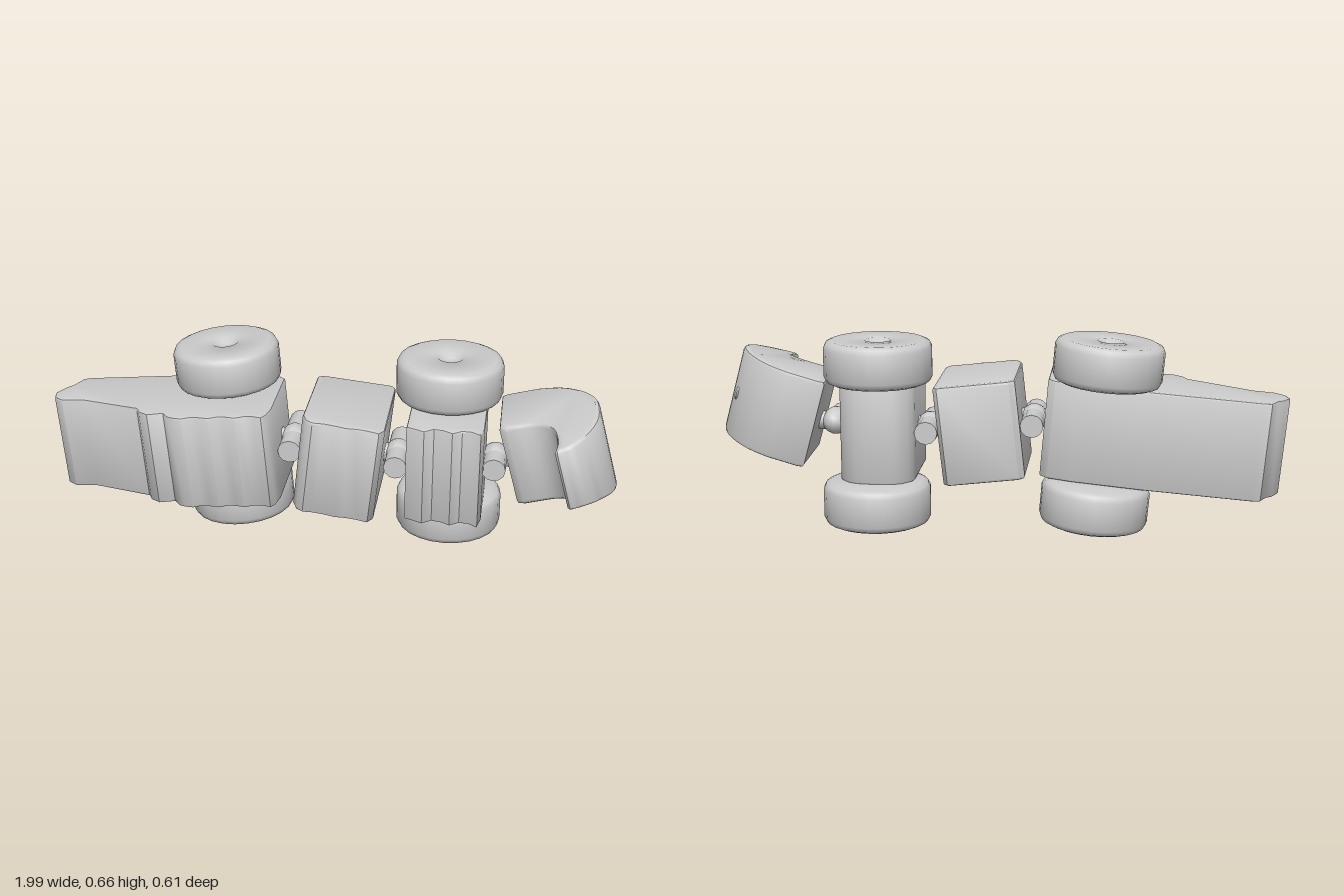
import * as THREE from 'three';
import { toCreasedNormals } from 'three/addons/utils/BufferGeometryUtils.js';

const deg = Math.PI / 180;
const material = new THREE.MeshStandardMaterial({ color: 0xcccccc });

function mesh(name, geometry, parent, crease = 40) {
  const m = new THREE.Mesh(toCreasedNormals(geometry, crease * deg), material);
  m.name = name;
  parent.add(m);
  return m;
}

// Body segment: an (x, z) side profile, extruded along y and centred
function segmentGeometry(profile, height, bevel) {
  const shape = new THREE.Shape(profile.map(([x, z]) => new THREE.Vector2(x, -z)));
  const g = new THREE.ExtrudeGeometry(shape, {
    depth: height - 2 * bevel, bevelEnabled: true, bevelThickness: bevel,
    bevelSize: bevel, bevelOffset: -bevel, bevelSegments: 2,
  });
  g.rotateX(-Math.PI / 2);
  g.translate(0, bevel - height / 2, 0);
  return g;
}

// Gently rippled edge between two x positions
function ripple(x0, x1, z, depth, n) {
  return Array.from({ length: n + 1 }, (_, i) =>
    [x0 + (x1 - x0) * i / n, z - depth * (0.5 - 0.5 * Math.cos(i * Math.PI * 0.65))]);
}

function smoothRun(points, n) {
  const curve = new THREE.SplineCurve(points.map(p => new THREE.Vector2(...p)));
  return curve.getPoints(n).map(p => [p.x, p.y]);
}

// Rounded wheel with a dimpled hub on its outer face
function wheel(name, parent, x, y, z, flip) {
  const h = 0.074;
  const pts = [[0, -h], [0.16, -h], [0.178, -h + 0.008], [0.186, -h + 0.025], [0.186, h - 0.025],
    [0.178, h - 0.008], [0.16, h], [0.045, h - 0.002], [0.03, h - 0.018], [0, h - 0.02]];
  const g = new THREE.LatheGeometry(pts.map(p => new THREE.Vector2(...p)), 24);
  const m = mesh(name, g, parent, 50);
  m.position.set(x, y, z);
  if (flip) m.rotation.x = Math.PI;
  return m;
}

function segmentGroup(name, root, x, y, angle) {
  const g = new THREE.Group();
  g.name = name;
  g.position.set(x, y, 0);
  g.rotation.z = angle * deg;
  root.add(g);
  return g;
}

// Hinge between segments: a pin along z with a bead in the middle
function hinge(name, root, x, y, length, z0, z1) {
  const g = segmentGroup(name, root, x, y, 0);
  const pin = mesh('hingePin', new THREE.CylinderGeometry(0.04, 0.04, z1 - z0, 12), g);
  pin.rotation.x = Math.PI / 2;
  pin.position.z = (z0 + z1) / 2;
  const link = mesh('hingeLink', new THREE.CylinderGeometry(0.033, 0.033, length, 10), g);
  link.rotation.z = Math.PI / 2;
  const bead = mesh('hingeBead', new THREE.SphereGeometry(0.048, 12, 8), g);
  bead.scale.z = 1.3;
}

export function createModel() {
  const root = new THREE.Group();
  root.name = 'jointedRollingToy';

  // Tail segment with its rear wheels
  const rear = segmentGroup('tailSegment', root, -0.575, 0.32, 4.9);
  const tail = [[-0.41, -0.04], [-0.385, -0.09], [-0.365, -0.11], [-0.34, -0.165], [-0.31, -0.172],
    [0.05, -0.18], [0.3, -0.17], [0.385, -0.155], [0.41, -0.13], [0.41, 0.13], [0.4, 0.185],
    ...ripple(0.385, 0.08, 0.205, 0.015, 10), [0.055, 0.185], [0.035, 0.155], [-0.02, 0.165],
    [-0.055, 0.14], [-0.07, 0.11], [-0.29, 0.028], [-0.365, 0.028], [-0.4, 0]];
  mesh('tailBody', segmentGeometry(tail, 0.342, 0.008), rear);
  wheel('rearLeftWheel', rear, 0.214, 0.246, -0.115, false);
  wheel('rearRightWheel', rear, 0.214, -0.246, -0.115, true);

  // Plain middle segment
  const middle = segmentGroup('middleSegment', root, 0.052, 0.339, -6.2);
  const block = [[-0.14, -0.165], [-0.12, -0.182], [0.125, -0.188], [0.14, -0.17], [0.142, 0.185],
    ...ripple(0.125, -0.1, 0.215, 0.008, 6), [-0.125, 0.2], [-0.14, 0.165]];
  mesh('middleBody', segmentGeometry(block, 0.345, 0.01), middle);

  // Front segment with its wheels and a rounded back
  const front = segmentGroup('frontSegment', root, 0.41, 0.327, 0);
  const chest = [[-0.13, -0.1], ...smoothRun([[-0.125, -0.13], [-0.08, -0.175], [0, -0.185],
    [0.08, -0.175], [0.125, -0.13]], 10), [0.13, -0.1], [0.13, 0.14],
    ...ripple(0.12, -0.1, 0.19, 0.03, 7), [-0.13, 0.16]];
  mesh('frontBody', segmentGeometry(chest, 0.35, 0.008), front);
  wheel('frontLeftWheel', front, -0.008, 0.247, -0.115, false);
  wheel('frontRightWheel', front, 0.002, -0.247, -0.115, true);

  // Head, curving round into a muzzle that narrows towards its tip
  const head = segmentGroup('headSegment', root, 0.79, 0.395, 15.5);
  const skull = [[-0.172, -0.145], [-0.15, -0.155], ...smoothRun([[-0.04, -0.152], [0.04, -0.125],
    [0.11, -0.065], [0.155, 0.01], [0.168, 0.09], [0.158, 0.17], [0.115, 0.245], [0.065, 0.287],
    [0.02, 0.305]], 24), ...smoothRun([[0.012, 0.295], [0.022, 0.24], [0.008, 0.165],
    [-0.04, 0.125], [-0.1, 0.118]], 14), [-0.15, 0.118], [-0.172, 0.1]];
  const headGeo = segmentGeometry(skull, 0.318, 0.014);
  const p = headGeo.attributes.position;
  for (let i = 0; i < p.count; i++) {
    const t = THREE.MathUtils.clamp((p.getZ(i) - 0.05) / 0.26, 0, 1);
    p.setY(i, p.getY(i) * (1 - 0.33 * t) + 0.01 * t);
  }
  mesh('headBody', headGeo, head);
  const nub = mesh('browNub', new THREE.SphereGeometry(0.025, 8, 6), head);
  nub.scale.x = 0.4;
  nub.position.set(0.135, 0, -0.02);

  // Hinges linking the segments
  hinge('rearHinge', root, -0.125, 0.36, 0.13, -0.14, 0.12);
  hinge('middleHinge', root, 0.24, 0.325, 0.13, -0.13, 0.12);
  hinge('neckHinge', root, 0.575, 0.335, 0.12, -0.02, 0.11);

  // Stand on the ground and centre
  const box = new THREE.Box3().setFromObject(root, true);
  const c = box.getCenter(new THREE.Vector3());
  root.children.forEach(o => o.position.sub(new THREE.Vector3(c.x, box.min.y, c.z)));
  return root;
}
